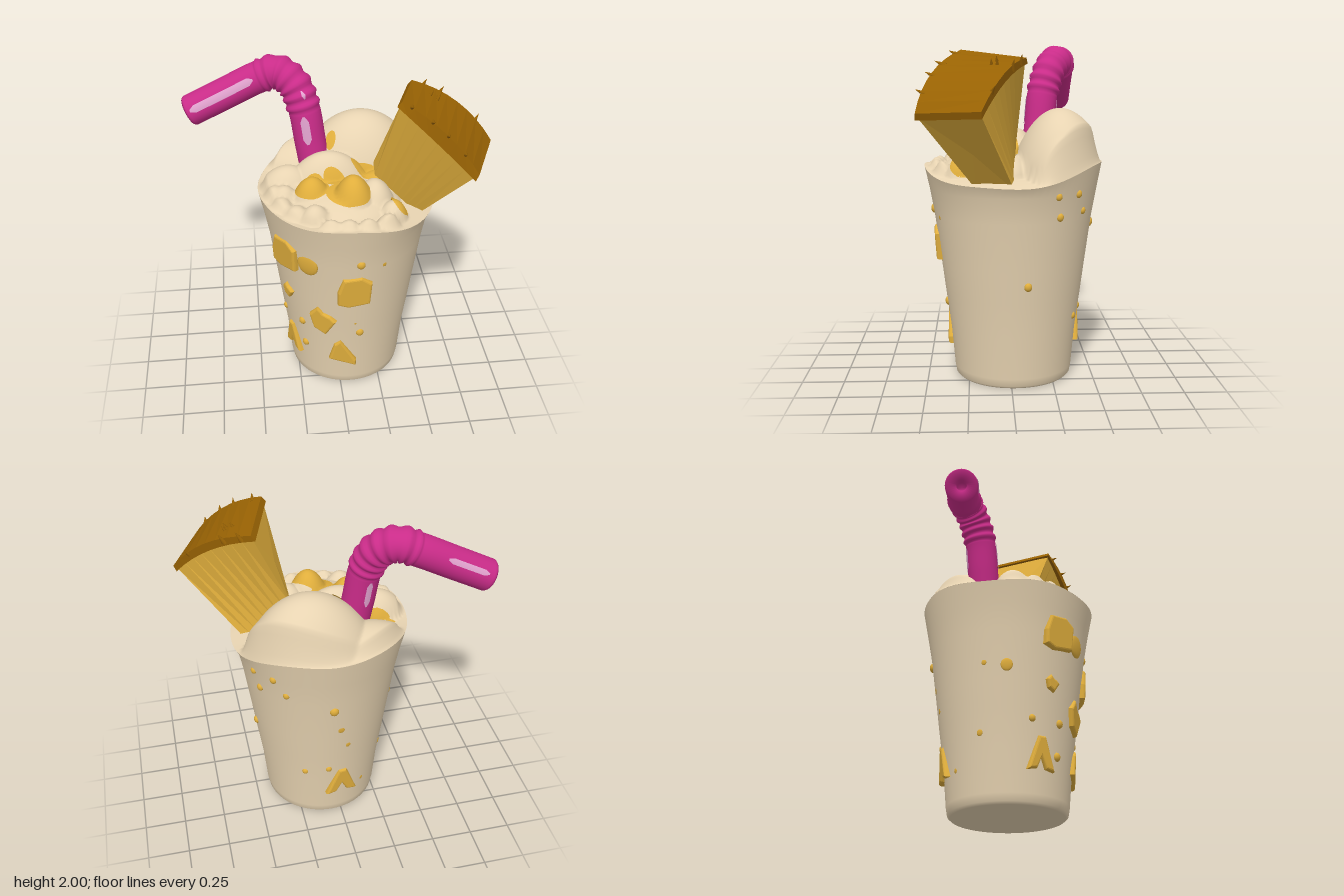
import * as THREE from 'three';
import { mergeVertices } from 'three/addons/utils/BufferGeometryUtils.js';

const TAU = Math.PI * 2;
const V = (x, y, z) => new THREE.Vector3(x, y, z);
const mat = (name, color, side = THREE.FrontSide) => {
  const m = new THREE.MeshStandardMaterial({ color, side });
  m.name = name;
  return m;
};

// Grid surface: fn(i, j) gives the point in column i (around) and row j (along)
function surface(nu, nv, fn, flat = false) {
  const pos = [], idx = [];
  for (let j = 0; j <= nv; j++) for (let i = 0; i <= nu; i++) pos.push(...fn(i, j).toArray());
  for (let j = 0; j < nv; j++) for (let i = 0; i < nu; i++) {
    const a = j * (nu + 1) + i, b = a + 1, c = a + nu + 1, d = c + 1;
    idx.push(a, c, b, b, c, d);
  }
  let g = new THREE.BufferGeometry();
  g.setAttribute('position', new THREE.Float32BufferAttribute(pos, 3));
  g.setIndex(idx);
  g = flat ? g.toNonIndexed() : mergeVertices(g, 1e-5);
  g.computeVertexNormals();
  return g;
}

// Cup axis, wall profile and wavy rim
const CX = 0.065, CZ = -0.02, RIM = 0.525;
const wall = [[0, 0], [0.33, 0], [0.346, 0.015], [0.354, 0.06], [0.375, 0.3], [0.405, 0.52], [0.428, 0.7], [0.468, 1.0], [0.495, 1.15]];
const rimY = (t) => 1.288 - 0.085 * Math.max(0, Math.cos(t - 0.2)) ** 2
  + 0.03 * Math.max(0, -Math.sin(t)) ** 2 + 0.008 * Math.sin(5 * t);
function wallRadius(y) {
  for (let k = 2; k < wall.length; k++) {
    const [r0, y0] = wall[k - 1], [r1, y1] = wall[k];
    if (y <= y1) return r0 + (r1 - r0) * (y - y0) / (y1 - y0);
  }
  return 0.495 + (y - 1.15) * 0.2;
}

// Cream mounds: x, z, radius x, radius z, top height
const mounds = [
  [0.18, -0.29, 0.38, 0.28, 1.63], [0.32, -0.3, 0.27, 0.24, 1.53], [-0.14, -0.36, 0.3, 0.2, 1.43],
  [-0.04, -0.04, 0.26, 0.15, 1.5], [-0.28, -0.02, 0.18, 0.13, 1.43], [0.03, 0.14, 0.34, 0.26, 1.37],
  [0.21, 0.17, 0.12, 0.13, 1.42], [-0.31, 0.12, 0.09, 0.08, 1.38], [-0.15, 0.14, 0.12, 0.11, 1.43],
  [0.08, 0.21, 0.13, 0.13, 1.47], [0.28, 0.0, 0.18, 0.12, 1.37],
  // bubbles along the front edge
  [-0.36, 0.1, 0.08, 0.08, 1.37], [-0.33, 0.2, 0.07, 0.07, 1.35], [-0.25, 0.28, 0.075, 0.075, 1.34],
  [-0.15, 0.33, 0.09, 0.08, 1.37], [-0.07, 0.43, 0.06, 0.055, 1.33], [0.03, 0.44, 0.06, 0.055, 1.33],
  [0.14, 0.44, 0.06, 0.055, 1.33], [0.26, 0.4, 0.07, 0.06, 1.33], [0.3, 0.3, 0.085, 0.08, 1.35], [-0.38, -0.02, 0.07, 0.07, 1.36],
];
function creamY(x, z) {
  const dx = x - CX, dz = z - CZ, s = Math.min(1, Math.hypot(dx, dz) / RIM);
  const base = 1.27 + (rimY(Math.atan2(dz, dx)) - 1.27) * s ** 3;
  let top = base;
  for (const [mx, mz, rx, rz, h] of mounds) {
    const d = ((x - mx) / rx) ** 2 + ((z - mz) / rz) ** 2;
    if (d < 1) top = Math.max(top, base + (h - base) * (1 - d) ** 0.75);
  }
  return base + (top - base) * Math.min(1, (1 - s) * 10);
}

export function createModel() {
  const root = new THREE.Group();
  const cream = mat('cream', 0xe8d4b2, THREE.DoubleSide);
  const fruit = mat('fruit yellow', 0xe0ae3c, THREE.DoubleSide);
  const rindMat = mat('rind brown', 0x986203);
  const pink = mat('straw magenta', 0xca2c89);
  const shine = mat('straw pale pink', 0xe2a3cf, THREE.DoubleSide);
  const add = (name, geo, m, parent = root) => {
    const mesh = new THREE.Mesh(geo, m);
    mesh.name = name;
    parent.add(mesh);
    return mesh;
  };

  // Cup wall and base
  add('cup', surface(72, wall.length, (i, j) => {
    const t = i / 72 * TAU;
    const [r, y] = j < wall.length ? wall[j] : [RIM, rimY(t)];
    return V(CX + r * Math.cos(t), y, CZ + r * Math.sin(t) * 1.01);
  }), cream);

  // Mounded cream filling
  add('creamTop', surface(144, 60, (i, j) => {
    const t = i / 144 * TAU, r = RIM * (1 - j / 60);
    const x = CX + r * Math.cos(t), z = CZ + r * Math.sin(t) * 1.01;
    return V(x, creamY(x, z), z);
  }), cream);

  // Fruit juice patches draped over the cream: x, z, radius x, radius z, turn
  for (const [px, pz, rx, rz, a] of [[-0.15, 0.14, 0.1, 0.09, 0], [0.05, 0.22, 0.13, 0.1, 0.4], [0.0, 0.09, 0.08, 0.04, 0.3],
    [0.25, 0.01, 0.16, 0.05, 0.2], [-0.23, -0.145, 0.14, 0.035, 0.1], [-0.01, -0.17, 0.03, 0.04, 0], [0.34, 0.27, 0.05, 0.08, 0]]) {
    add('creamFruitPatch', surface(24, 10, (i, j) => {
      const t = i / 24 * TAU, s = 1 - j / 10, u = rx * s * Math.cos(t), w = rz * s * Math.sin(t);
      const x = px + u * Math.cos(a) - w * Math.sin(a), z = pz + u * Math.sin(a) + w * Math.cos(a);
      return V(x, creamY(x, z) + 0.008, z);
    }), fruit);
  }

  // Fruit pieces set on the cup wall, facing outward
  const onWall = (mesh, t, y, sink = 0) => {
    const r = wallRadius(y) - sink;
    mesh.position.set(CX + r * Math.cos(t), y, CZ + r * Math.sin(t));
    mesh.lookAt(mesh.position.x + Math.cos(t), y - 0.07, mesh.position.z + Math.sin(t));
  };
  const frontAngle = (x, y) => Math.acos(THREE.MathUtils.clamp((x - CX) / wallRadius(y), -1, 1));
  const outlines = {
    block: [[-0.5, -0.4], [-0.2, -0.5], [0.45, -0.4], [0.5, 0.3], [0.2, 0.5], [-0.35, 0.45], [-0.5, 0.0]],
    shard: [[0.1, -0.5], [0.5, 0.05], [0.3, 0.2], [0.0, 0.3], [-0.2, 0.5], [-0.5, 0.2], [-0.35, -0.3]],
    wedge: [[-0.5, -0.25], [0.5, -0.5], [0.5, -0.35], [-0.1, 0.5], [-0.3, 0.35]],
    chevron: [[-0.5, -0.5], [-0.22, -0.45], [0.0, -0.05], [0.22, -0.45], [0.5, -0.5], [0.12, 0.5], [-0.1, 0.5]],
  };
  const chunk = (kind, t, y, w, h) => {
    const shape = new THREE.Shape(outlines[kind].map(([a, b]) => new THREE.Vector2(a * w, b * h)));
    const geo = new THREE.ExtrudeGeometry(shape, { depth: 0.03, bevelThickness: 0.018, bevelSize: 0.014, bevelOffset: -0.005, bevelSegments: 3 });
    onWall(add('fruitChunk', geo, fruit), t, y, 0.024);
  };
  for (const [kind, x, y, w, h] of [['block', -0.32, 1.01, 0.19, 0.2], ['block', 0.07, 0.82, 0.185, 0.21],
    ['shard', -0.11, 0.56, 0.15, 0.19], ['shard', -0.3, 0.7, 0.07, 0.08], ['wedge', 0.01, 0.29, 0.15, 0.19],
    ['chevron', -0.275, 0.29, 0.15, 0.18]]) chunk(kind, frontAngle(x, y), y, w, h);
  chunk('chevron', -1.72, 0.3, 0.18, 0.18);

  // Small fruit drops: angle, height, radius, thickness ratio
  const drop = (t, y, r, flat = 0.8) => {
    const m = add('fruitDrop', new THREE.SphereGeometry(r, 14, 10), fruit);
    onWall(m, t, y);
    m.scale.set(1, 1.1, flat);
  };
  for (const [x, y, r, f] of [[0.1, 1.03, 0.026], [-0.23, 0.48, 0.024], [0.11, 0.46, 0.025], [-0.21, 0.29, 0.024],
    [-0.32, 0.48, 0.02], [0.24, 1.0, 0.018, 0.3], [0.08, 0.545, 0.014, 0.3], [-0.2, 0.99, 0.068, 0.22]]) drop(frontAngle(x, y), y, r, f);
  for (const [z, y, r] of [[-0.26, 1.15, 0.02], [-0.38, 1.155, 0.022], [-0.27, 1.03, 0.022], [-0.41, 1.05, 0.02],
    [-0.09, 0.63, 0.023], [-0.37, 0.395, 0.02]]) drop(Math.asin((z - CZ) / wallRadius(y)), y, r);
  for (const [t, y, r, f] of [[-1.55, 0.94, 0.028], [-1.78, 0.62, 0.02, 0.3], [-1.5, 0.42, 0.02], [-3.05, 0.78, 0.035, 0.25],
    [-2.75, 0.8, 0.015, 0.3], [-2.65, 0.4, 0.018, 0.3], [-2.15, 0.22, 0.015, 0.3], [-1.66, 0.77, 0.025, 0.25]]) drop(t, y, r, f);

  // Bendy straw with a ribbed elbow and a small hole in the tip
  const path = new THREE.CatmullRomCurve3([V(-0.095, 1.28, -0.17), V(-0.13, 1.5, -0.19), V(-0.165, 1.72, -0.215),
    V(-0.22, 1.85, -0.26), V(-0.31, 1.9, -0.31), V(-0.42, 1.862, -0.33), V(-0.63, 1.758, -0.34), V(-0.838, 1.655, -0.35)]);
  const N = 120, frames = path.computeFrenetFrames(N, false);
  const strawR = (t) => {
    const k = (t - 0.33) / 0.29;
    return k < 0 || k > 1 ? 0.094 : 0.098 + 0.007 * Math.cos(k * TAU * 6.5 + Math.PI);
  };
  const strawPoint = (k, r, a) => path.getPointAt(k / N)
    .addScaledVector(frames.normals[k], r * Math.cos(a)).addScaledVector(frames.binormals[k], -r * Math.sin(a));
  const rows = Array.from({ length: N }, (_, k) => [k, strawR(k / N)]);
  rows.push([N, 0.087], [N, 0.03], [N - 8, 0.028], [N - 8, 0]);
  add('straw', surface(32, rows.length - 1, (i, j) => strawPoint(...rows[j], i / 32 * TAU)), pink);

  // Pale streaks along the straw: start, end, facing direction, half angle
  for (const [k0, k1, dir, w] of [[78, 117, V(0, 0.38, 0.92), 0.24], [90, 115, V(0, 0.45, -0.9), 0.17],
    [22, 38, V(-0.15, 0, 1), 0.26], [22, 38, V(-0.2, 0, -1), 0.18], [46, 50, V(0.2, 0.2, 0.9), 0.15]]) {
    add('strawStreak', surface(6, k1 - k0, (i, j) => {
      const k = k0 + j, a = Math.atan2(-dir.dot(frames.binormals[k]), dir.dot(frames.normals[k]));
      const taper = Math.min(1, (Math.min(j, k1 - k0 - j) + 1) / 4);
      return strawPoint(k, strawR(k / N) + 0.004, a + (i / 3 - 1) * w * taper);
    }), shine);
  }

  // Fruit wedge: a tapered block between a narrow foot and an arched rind
  const wedge = new THREE.Group();
  wedge.name = 'fruitWedge';
  root.add(wedge);
  const up = V(0.5, 0.86, 0.06).normalize(), mid = V(0.57, 1.76, 0.22);
  const back = [V(0.43, 1.89, -0.08), V(0.85, 1.615, 0.17)], front = [V(0.31, 1.935, 0.28), V(0.7, 1.6, 0.515)];
  const footBack = [V(0.23, 1.42, -0.03), V(0.5, 1.19, -0.01)], footFront = [V(0.22, 1.41, 0.1), V(0.465, 1.19, 0.2)];
  const along = ([a, b], s, lift = 0, grow = 1, bulge = 0, out = 0) => a.clone().lerp(b, s).sub(mid).multiplyScalar(grow).add(mid)
    .addScaledVector(up, lift + bulge * 4 * s * (1 - s)).add(V(0, 0, out * 4 * s * (1 - s)));
  const block = (corners, n) => surface(4, n + 2, (i, j) => {
    const c = corners(THREE.MathUtils.clamp((j - 1) / n, 0, 1));
    if (j > 0 && j < n + 2) return c[i % 4];
    return c[0].clone().add(c[1]).add(c[2]).add(c[3]).multiplyScalar(0.25);
  }, true);
  const rindFront = (s) => along(front, s, 0.03, 1.0, 0.045, 0.035), rindBack = (s) => along(back, s, 0.03, 1.0, 0.06);
  add('wedgeFlesh', block((s) => [along(footFront, s), along(front, s, 0, 0.97, 0.01, 0.01),
    along(back, s, 0, 0.97, 0.05), along(footBack, s)], 8), fruit, wedge);
  add('wedgeRind', block((s) => [along(front, s, -0.01, 1.02, 0.01, 0.025), rindFront(s),
    rindBack(s), along(back, s, -0.01, 1.02, 0.05)], 8), rindMat, wedge);

  // Little thorns on the rind: place along, place across, outward lean
  for (const [s, w, lean] of [[0.1, 1, 2], [0.33, 1, 2], [0.52, 1, 2], [0.76, 1, 2], [0.12, 0, -0.2],
    [0.3, 0, -0.2], [0.75, 0, -0.6], [0.22, 0.28, 0], [0.3, 0.3, 0], [0.3, 0.22, 0]]) {
    const m = add('rindThorn', new THREE.ConeGeometry(0.018, 0.07, 8), rindMat, wedge);
    m.position.copy(rindBack(s).lerp(rindFront(s), w));
    m.quaternion.setFromUnitVectors(V(0, 1, 0), V(-0.3, 0, 0.9).multiplyScalar(lean).add(up).normalize());
  }
  return root;
}
